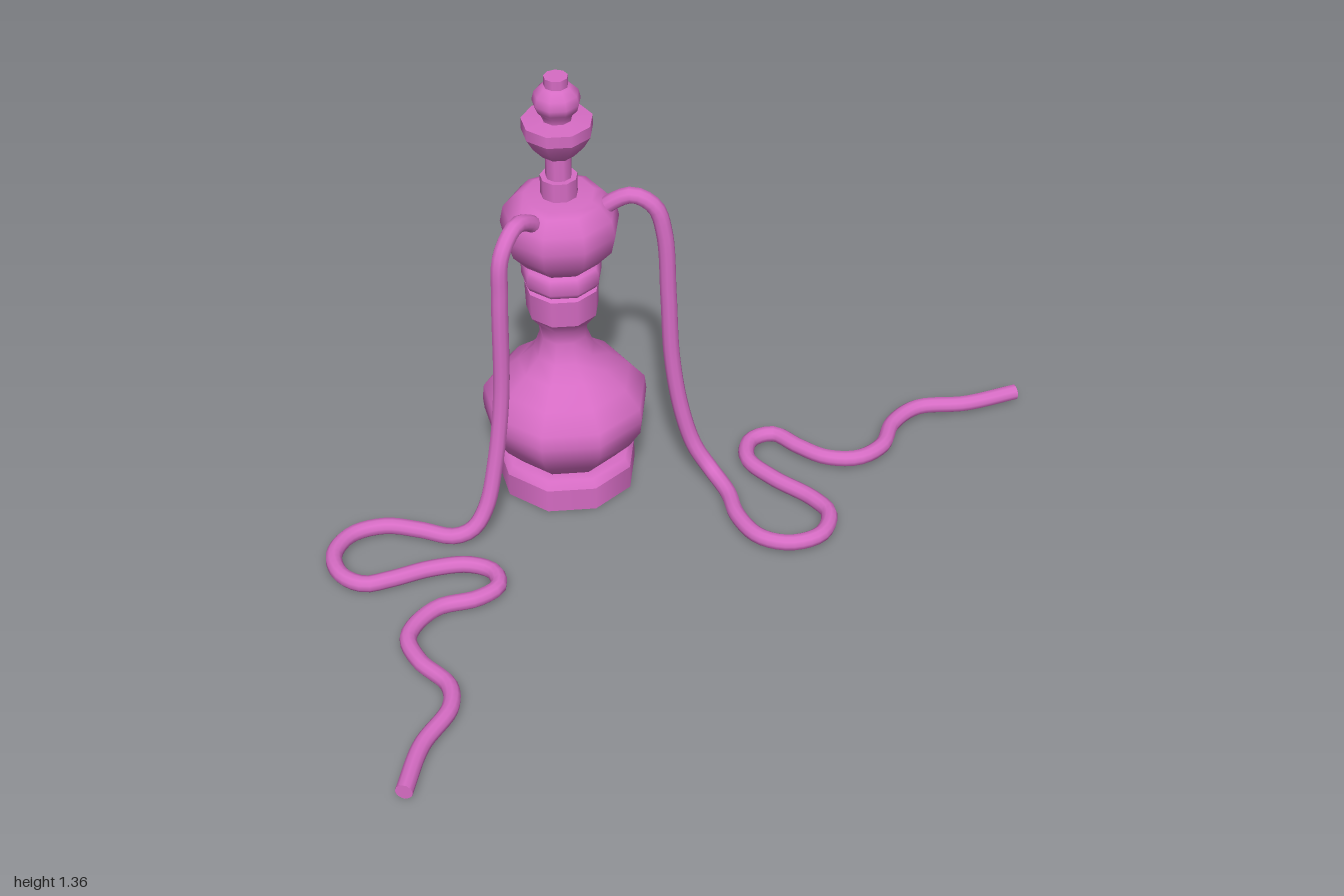
import * as THREE from 'three';

const SIDES = 9;
const HOSE_RADIUS = 0.024;
const FLOOR_Y = 0.027;

// Turned sections from bottom to top, as [radius, height] profiles
const SECTIONS = {
  baseRim: [[0.206, 0], [0.206, 0.075]],
  baseTop: [[0.206, 0.075], [0.19, 0.1], [0.15, 0.1]],
  vase: [[0.155, 0.1], [0.205, 0.155], [0.241, 0.215], [0.245, 0.255], [0.24, 0.3], [0.195, 0.355],
    [0.135, 0.405], [0.09, 0.45], [0.069, 0.51], [0.075, 0.555], [0.105, 0.595]],
  neckCollar: [[0.105, 0.595], [0.108, 0.68]],
  neckShoulder: [[0.108, 0.68], [0.085, 0.69]],
  neckRing: [[0.085, 0.685], [0.108, 0.695], [0.116, 0.71], [0.116, 0.74], [0.108, 0.755], [0.09, 0.765]],
  bulb: [[0.09, 0.755], [0.115, 0.775], [0.158, 0.825], [0.17, 0.88], [0.16, 0.93], [0.125, 0.97], [0.1, 0.98], [0.04, 0.982]],
  stemCollar: [[0.053, 0.975], [0.053, 1.04]],
  stemCollarTop: [[0.053, 1.04], [0.03, 1.04]],
  stem: [[0.037, 1.035], [0.037, 1.12]],
  bowl: [[0.03, 1.11], [0.05, 1.115], [0.08, 1.15], [0.1, 1.185]],
  bowlRim: [[0.1, 1.185], [0.1, 1.22]],
  bowlTop: [[0.1, 1.22], [0.04, 1.225]],
  finial: [[0.042, 1.22], [0.044, 1.24], [0.062, 1.26], [0.068, 1.28], [0.062, 1.305], [0.042, 1.325], [0.03, 1.328]],
  tip: [[0.034, 1.325], [0.034, 1.355]],
  tipCap: [[0.034, 1.355], [0, 1.355]],
};

// Each hose arches out of the bulb (x, y, z), then winds along the floor (x, z)
const HOSES = {
  leftHose: {
    drop: [[-0.25, 0.92, -0.46], [-0.21, 0.96, -0.46], [-0.15, 0.985, -0.46], [-0.09, 0.95, -0.46], [-0.063, 0.86, -0.46],
      [-0.052, 0.65, -0.46], [-0.042, 0.43, -0.46], [-0.015, 0.25, -0.457], [0.025, 0.12, -0.45], [0.075, 0.05, -0.43]],
    floor: [[0.13, -0.355], [0.165, -0.25], [0.235, -0.16], [0.325, -0.14], [0.41, -0.185], [0.43, -0.28],
      [0.38, -0.345], [0.26, -0.43], [0.18, -0.515], [0.185, -0.605], [0.25, -0.64], [0.33, -0.585],
      [0.415, -0.54], [0.51, -0.545], [0.58, -0.61], [0.61, -0.72], [0.685, -0.805], [0.83, -0.835], [0.985, -0.905]],
  },
  rightHose: {
    drop: [[-0.4, 0.92, -0.37], [-0.425, 0.965, -0.33], [-0.455, 0.985, -0.28], [-0.488, 0.93, -0.215], [-0.495, 0.8, -0.2],
      [-0.503, 0.47, -0.195], [-0.525, 0.25, -0.165], [-0.553, 0.11, -0.13], [-0.59, 0.05, -0.105]],
    floor: [[-0.645, -0.095], [-0.745, -0.115], [-0.85, -0.125], [-0.94, -0.08], [-0.975, 0.01], [-0.94, 0.095],
      [-0.87, 0.13], [-0.8, 0.105], [-0.69, 0.05], [-0.585, 0.025], [-0.51, 0.05], [-0.49, 0.11],
      [-0.54, 0.165], [-0.65, 0.215], [-0.71, 0.335], [-0.665, 0.43], [-0.57, 0.52], [-0.555, 0.605],
      [-0.61, 0.75], [-0.63, 0.92]],
  },
};

function makeHose(name, { drop, floor }, material) {
  const points = [
    ...drop.map((p) => new THREE.Vector3(...p)),
    ...floor.map(([x, z]) => new THREE.Vector3(x, FLOOR_Y, z)),
  ];
  const curve = new THREE.CatmullRomCurve3(points);
  const hose = new THREE.Group();
  hose.name = name;
  const tube = new THREE.Mesh(new THREE.TubeGeometry(curve, 140, HOSE_RADIUS, 10), material);
  tube.name = 'hoseTube';

  // Disc closing the free end
  const cap = new THREE.Mesh(new THREE.CircleGeometry(HOSE_RADIUS, 10), material);
  cap.name = 'hoseEnd';
  const end = curve.getPoint(1);
  cap.position.copy(end);
  cap.lookAt(end.clone().add(curve.getTangent(1)));
  hose.add(tube, cap);
  return hose;
}

export function createModel() {
  const model = new THREE.Group();
  model.name = 'waterPipe';
  const material = new THREE.MeshStandardMaterial({ color: 0xd66cc4, side: THREE.DoubleSide });

  // Nine-sided turned body, one mesh per section so the joints stay crisp
  const body = new THREE.Group();
  body.name = 'body';
  body.position.set(-0.355, 0, -0.46);
  for (const [name, profile] of Object.entries(SECTIONS)) {
    const points = profile.map(([r, y]) => new THREE.Vector2(r, y));
    const section = new THREE.Mesh(new THREE.LatheGeometry(points, SIDES, -Math.PI / 2), material);
    section.name = name;
    body.add(section);
  }
  model.add(body);

  for (const [name, path] of Object.entries(HOSES)) model.add(makeHose(name, path, material));
  return model;
}
